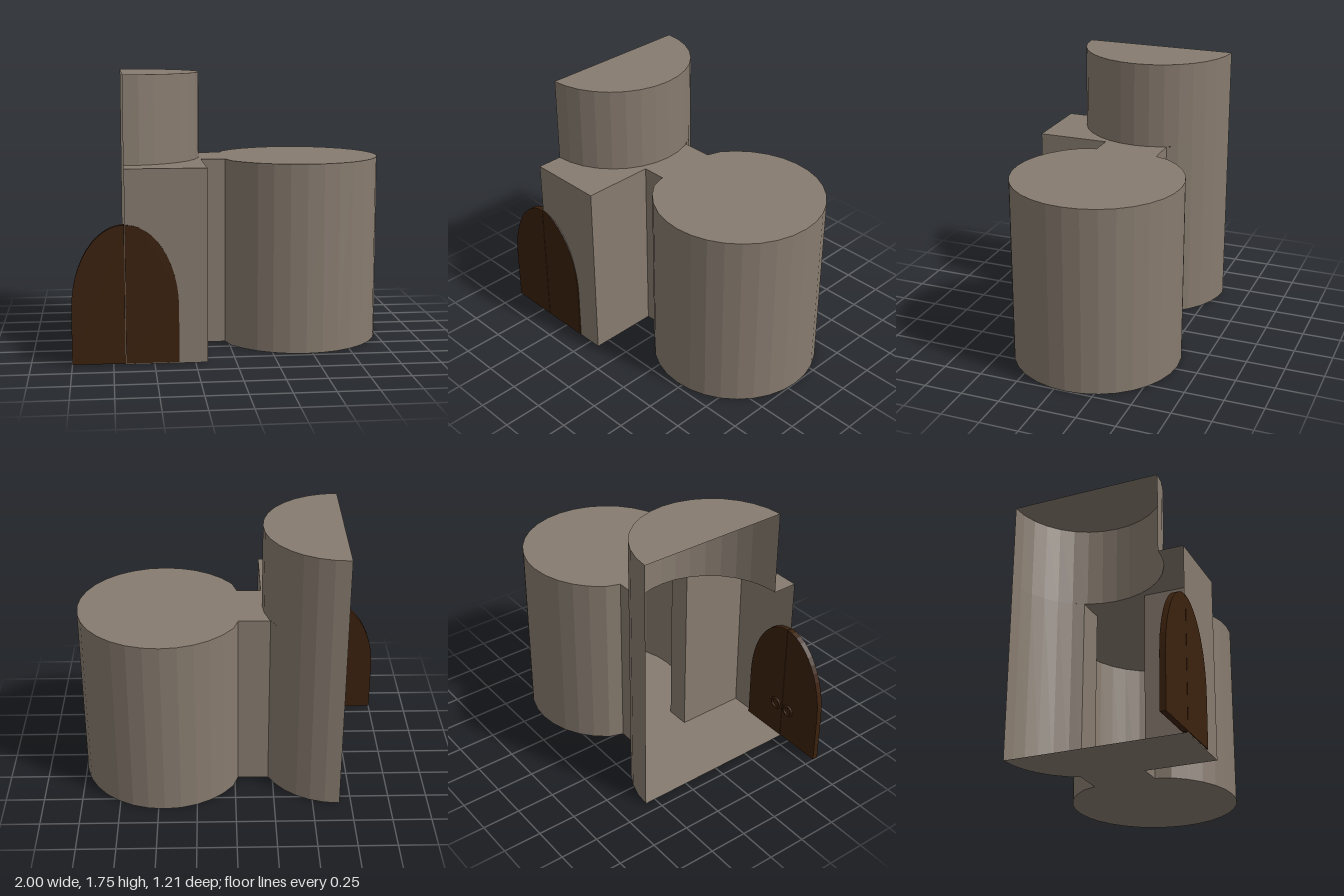
import * as THREE from 'three';

const stone = new THREE.MeshStandardMaterial({ color: 0x877b6f, flatShading: true, side: THREE.DoubleSide });
stone.name = 'stone';
const wood = new THREE.MeshStandardMaterial({ color: 0x3b210d });
wood.name = 'darkWood';

const CUT = -0.675, SIDE = -0.175, FRONT = 0.595, ROOF = 1.2, TOP = 1.75;

// Points [x, z] along an arc; angles in degrees, from +x towards +z
function arc(cx, cz, r, from, to, segments) {
  return Array.from({ length: segments + 1 }, (_, i) => {
    const a = THREE.MathUtils.degToRad(from + (to - from) * i / segments);
    return [cx + r * Math.cos(a), cz + r * Math.sin(a)];
  });
}

// Upright sheet following a plan line
function wall(points, y0, y1) {
  const v = [];
  for (let i = 0; i < points.length - 1; i++) {
    const [ax, az] = points[i], [bx, bz] = points[i + 1];
    v.push(ax, y0, az, bx, y0, bz, bx, y1, bz, ax, y0, az, bx, y1, bz, ax, y1, az);
  }
  const g = new THREE.BufferGeometry();
  g.setAttribute('position', new THREE.Float32BufferAttribute(v, 3));
  g.computeVertexNormals();
  return g;
}

// Level sheet filling a plan outline, facing up (1) or down (-1)
function slab(points, y, facing) {
  const shape = new THREE.Shape(points.map(([x, z]) => new THREE.Vector2(x, -facing * z)));
  return new THREE.ShapeGeometry(shape).rotateX(-facing * Math.PI / 2).translate(0, y, 0);
}

export function createModel() {
  const model = new THREE.Group();
  model.name = 'halfCastle';
  const add = (name, geometry, material, parent = model) => {
    const mesh = new THREE.Mesh(geometry, material);
    mesh.name = name;
    parent.add(mesh);
    return mesh;
  };

  // Plan: gatehouse, passage, round tower and back of the passage
  const plan = [
    [CUT, FRONT], [SIDE, FRONT], [SIDE, 0.13], [-0.02, 0.13],
    ...arc(0.46, -0.07, 0.54, 146.25, -146.25, 26),
    [-0.02, -0.28], [-0.221, -0.28],
  ];
  const keepBack = arc(CUT, -0.07, 0.5, -33.75, -90, 5);
  const keepArc = arc(CUT, -0.07, 0.5, 90, -90, 16);

  // Hollow shell, open along the cut side
  add('lowerWalls', wall([...plan, ...keepBack], 0, ROOF), stone);
  add('floor', slab([...plan, ...keepBack], 0, -1), stone);
  add('lowerRoof', slab([...plan, ...arc(CUT, -0.07, 0.5, -22.5, 90, 10)], ROOF, 1), stone);

  // Half-round keep
  add('keepWall', wall(keepArc, ROOF, TOP), stone);
  add('keepRoof', slab(keepArc, TOP, 1), stone);

  // Arched double door with ring handles on the inside
  const door = new THREE.Group();
  door.name = 'door';
  door.position.set(CUT, 0.008, 0);
  model.add(door);
  const w = 0.325, spring = 0.34, rise = 0.515, gap = 0.002;
  for (const s of [-1, 1]) {
    const pts = [new THREE.Vector2(s * gap, 0), new THREE.Vector2(s * w, 0)];
    for (let i = 0; i <= 12; i++) {
      const a = i / 12 * Math.PI / 2;
      pts.push(new THREE.Vector2(s * Math.max(gap, w * Math.cos(a)), spring + rise * Math.sin(a)));
    }
    const leaf = new THREE.ExtrudeGeometry(new THREE.Shape(pts), { depth: 0.037, bevelEnabled: false });
    add(s < 0 ? 'rightDoorLeaf' : 'leftDoorLeaf', leaf.translate(0, 0, 0.565), wood, door);
    add('ringHandle', new THREE.TorusGeometry(0.036, 0.008, 8, 20), wood, door).position.set(s * 0.058, 0.24, 0.561);
  }
  return model;
}
